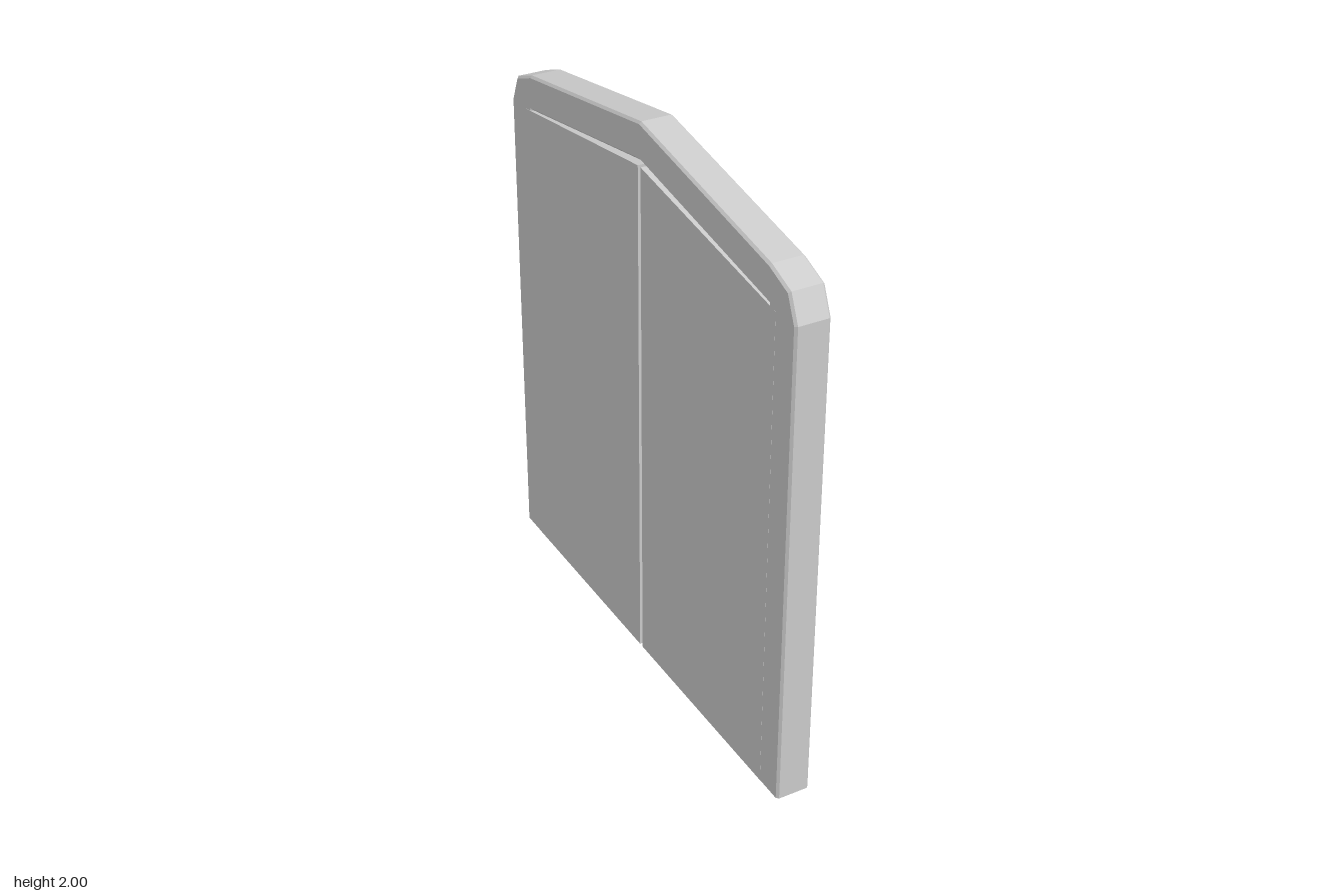
import * as THREE from 'three';
import { RoundedBoxGeometry } from 'three/addons/geometries/RoundedBoxGeometry.js';

const HALF = 0.06;    // half of the frame's thickness
const BEVEL = 0.008;

// Extrudes an outline of [z, y] points along x, from x0 to x1
function slab(points, x0, x1, bevel, material, name) {
  const shape = new THREE.Shape(points.map(([z, y]) => new THREE.Vector2(-z, y)));
  const geometry = new THREE.ExtrudeGeometry(shape, {
    depth: x1 - x0 - 2 * bevel,
    bevelEnabled: bevel > 0,
    bevelThickness: bevel,
    bevelSize: bevel,
    bevelOffset: -bevel,
    bevelSegments: 1,
  });
  geometry.translate(0, 0, x0 + bevel);
  geometry.rotateY(Math.PI / 2);
  // Flatten the underside onto the floor
  const pos = geometry.attributes.position;
  for (let i = 0; i < pos.count; i++) pos.setY(i, Math.max(0, pos.getY(i)));
  geometry.computeVertexNormals();
  const mesh = new THREE.Mesh(geometry, material);
  mesh.name = name;
  return mesh;
}

export function createModel() {
  const group = new THREE.Group();
  group.name = 'doubleDoor';
  const grey = new THREE.MeshStandardMaterial({ color: 0xcccccc, flatShading: true });
  const dark = new THREE.MeshStandardMaterial({ color: 0x222222 });

  // Arched frame: outer edge up one side, mirrored, then the opening
  const outer = [[0.905, -BEVEL], [0.905, 1.735], [0.865, 1.828], [0.76, 1.868]];
  const inner = [[0.76, -BEVEL], [0.76, 1.743]];
  const mirror = (pts) => pts.map(([z, y]) => [-z, y]).reverse();
  const outline = [
    ...outer, [0, 2], ...mirror(outer),
    ...mirror(inner).reverse(), [0, 1.871], ...[...inner].reverse(),
  ];
  group.add(slab(outline, -HALF, HALF, BEVEL, grey, 'frame'));

  for (const side of [1, -1]) {
    const label = side > 0 ? 'left' : 'right';

    // Door leaf, flush with the back and tucked into the frame
    const leaf = [[0.009, 0], [0.8, 0], [0.8, 1.735], [0.009, 1.852]]
      .map(([z, y]) => [z * side, y]);
    group.add(slab(leaf, -HALF - 0.0005, -0.015, 0, grey, label + 'Door'));

    // Handle on the recessed face
    const handle = new THREE.Mesh(new RoundedBoxGeometry(0.022, 0.04, 0.113, 2, 0.006), dark);
    handle.position.set(-0.005, 0.954, side > 0 ? 0.097 : -0.09);
    handle.name = label + 'Handle';
    group.add(handle);
  }
  return group;
}
